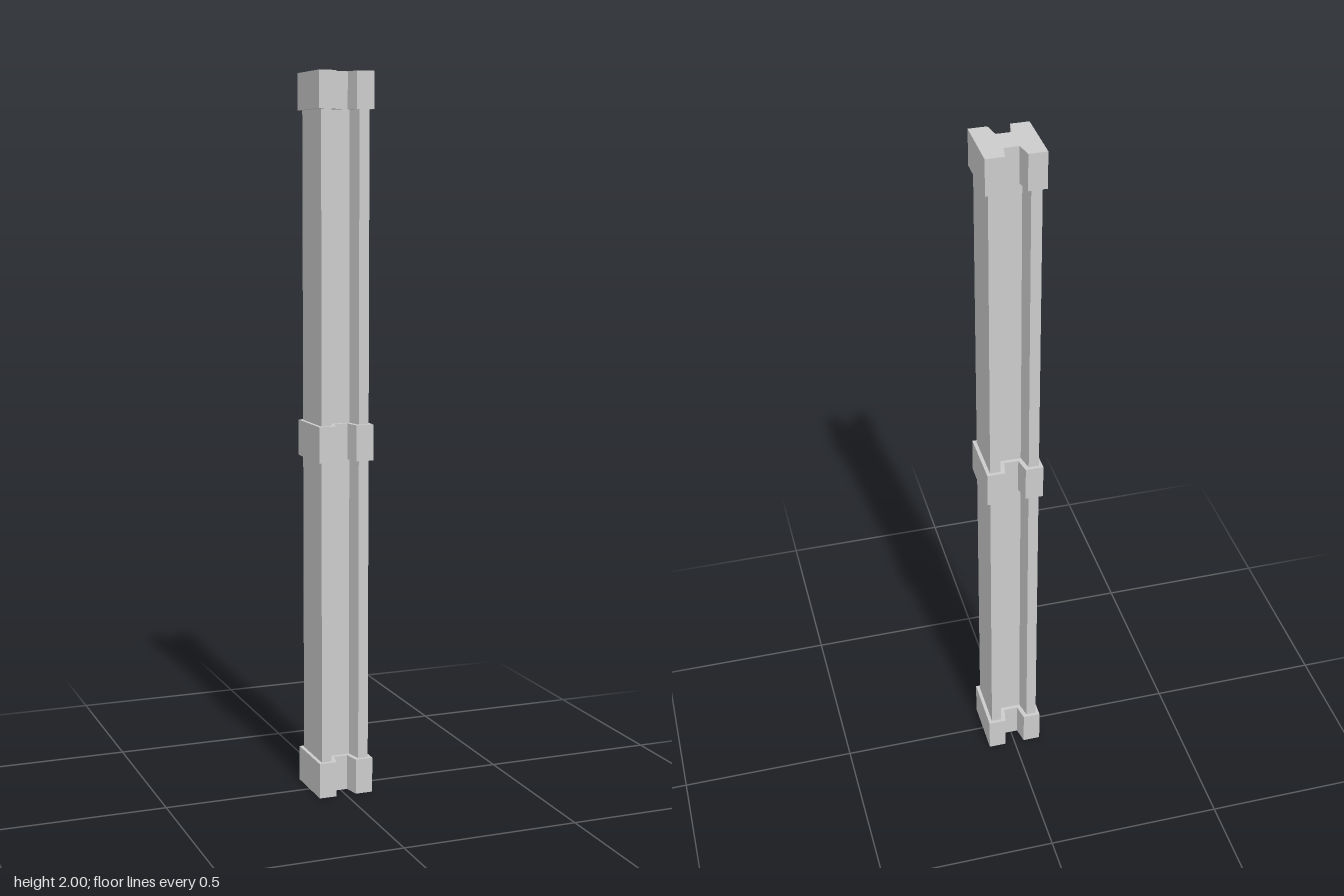
import * as THREE from 'three';

const material = new THREE.MeshStandardMaterial({ color: 0xcccccc, flatShading: true });

// H-shaped section with a tapered groove front and back, extruded upwards
function grooved(name, { halfX, halfZ, mouth, floor, floorZ }, y0, y1) {
  const shape = new THREE.Shape([
    [halfX, -halfZ], [halfX, halfZ], [mouth, halfZ], [floor, floorZ],
    [-floor, floorZ], [-mouth, halfZ], [-halfX, halfZ], [-halfX, -halfZ],
    [-mouth, -halfZ], [-floor, -floorZ], [floor, -floorZ], [mouth, -halfZ],
  ].map(([x, z]) => new THREE.Vector2(x, z)));
  const geometry = new THREE.ExtrudeGeometry(shape, { depth: y1 - y0, bevelEnabled: false });
  geometry.rotateX(-Math.PI / 2).translate(0, y0, 0);
  const mesh = new THREE.Mesh(geometry, material);
  mesh.name = name;
  return mesh;
}

export function createModel() {
  const group = new THREE.Group();
  group.name = 'groovedPost';

  const shaft = { halfX: 0.069, halfZ: 0.074, mouth: 0.04, floor: 0.03, floorZ: 0.028 };
  const band = { halfX: 0.079, halfZ: 0.084, mouth: 0.029, floor: 0.02, floorZ: 0.039 };

  // Two shaft lengths between the bands
  group.add(grooved('lowerShaft', shaft, 0.1, 0.95));
  group.add(grooved('upperShaft', shaft, 1.05, 1.9));

  // Thicker bands at the foot, middle and top
  group.add(grooved('baseBand', band, 0, 0.1));
  group.add(grooved('middleBand', band, 0.95, 1.05));
  group.add(grooved('topBand', band, 1.9, 2));
  return group;
}
